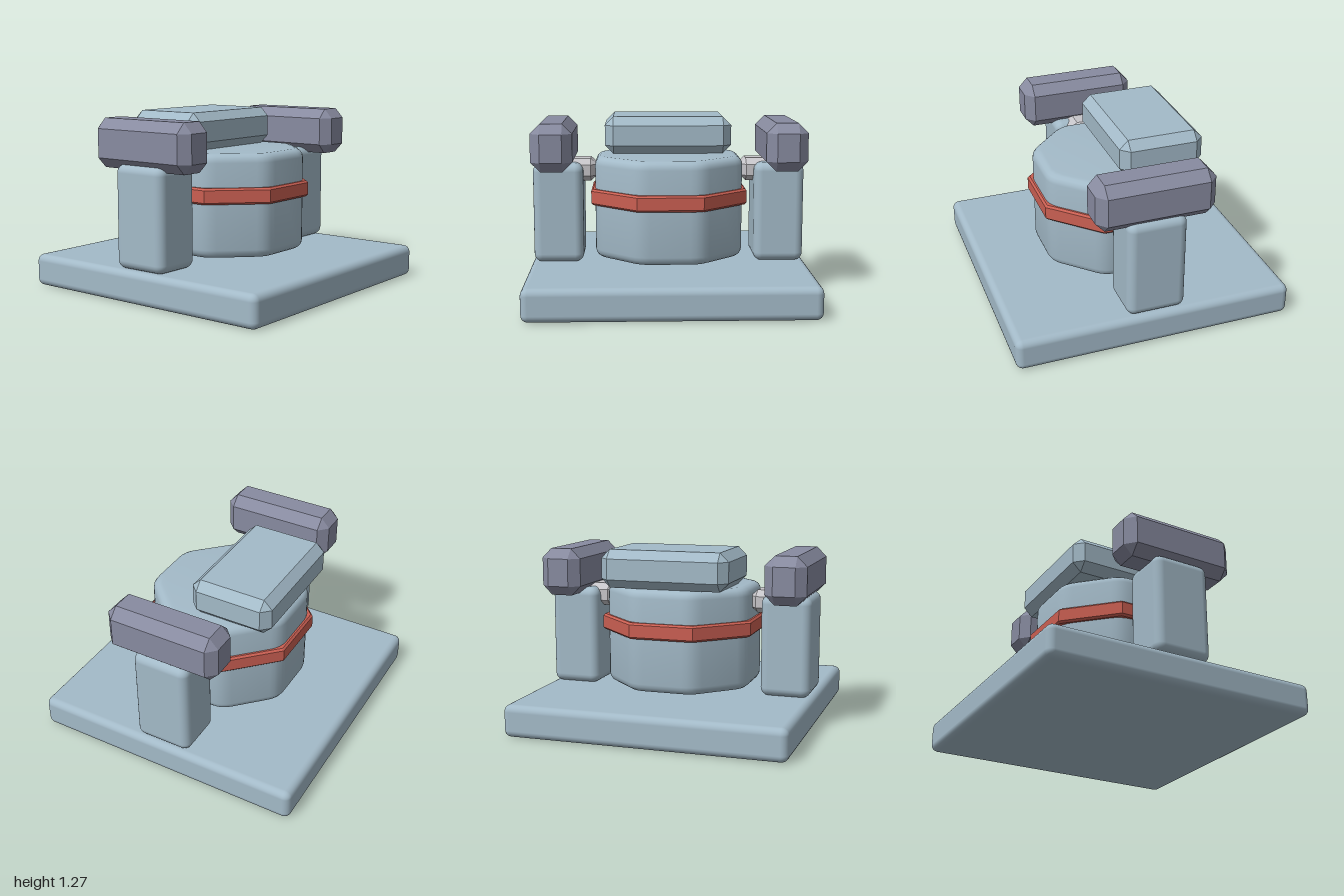
import * as THREE from 'three';
import { toCreasedNormals } from 'three/addons/utils/BufferGeometryUtils.js';
import { RoundedBoxGeometry } from 'three/addons/geometries/RoundedBoxGeometry.js';
import { ConvexGeometry } from 'three/addons/geometries/ConvexGeometry.js';

const material = (name, color) => Object.assign(new THREE.MeshStandardMaterial({ color }), { name });

// Box with flat chamfers: three points at each of the eight corners
function chamferBox(w, h, d, cx, cy = cx, cz = cx) {
  const points = [];
  for (const x of [-1, 1]) for (const y of [-1, 1]) for (const z of [-1, 1]) {
    const [X, Y, Z] = [w / 2, h / 2, d / 2];
    points.push(
      new THREE.Vector3(x * X, y * (Y - cy), z * (Z - cz)),
      new THREE.Vector3(x * (X - cx), y * Y, z * (Z - cz)),
      new THREE.Vector3(x * (X - cx), y * (Y - cy), z * Z));
  }
  return new ConvexGeometry(points);
}

// Upright octagonal prism from y0 to y1, flat sides facing the axes
function octagonPrism(apothem, y0, y1, bevel, segments, cornerCut) {
  const shape = new THREE.Shape();
  const R = apothem / Math.cos(Math.PI / 8);
  const corner = (i) => new THREE.Vector2(R, 0).rotateAround(new THREE.Vector2(), (i + 0.5) * Math.PI / 4);
  for (let i = 0; i < 8; i++) {
    const c = corner(i);
    if (!cornerCut) {
      i ? shape.lineTo(c.x, c.y) : shape.moveTo(c.x, c.y);
      continue;
    }
    const a = c.clone().lerp(corner(i - 1), cornerCut);
    const b = c.clone().lerp(corner(i + 1), cornerCut);
    i ? shape.lineTo(a.x, a.y) : shape.moveTo(a.x, a.y);
    shape.quadraticCurveTo(c.x, c.y, b.x, b.y);
  }
  shape.closePath();
  const geometry = new THREE.ExtrudeGeometry(shape, {
    depth: y1 - y0 - 2 * bevel, curveSegments: 4,
    bevelSize: bevel, bevelThickness: bevel, bevelOffset: -bevel, bevelSegments: segments,
  });
  return geometry.translate(0, 0, y0 + bevel).rotateX(-Math.PI / 2);
}

export function createModel() {
  const model = new THREE.Group();
  model.name = 'turret';

  const blue = material('pale blue', 0xa3bac8);
  const red = material('red', 0xca5f52);
  const slate = material('slate', 0x888ba0);
  const grey = material('light grey', 0xc6c5c9);

  const add = (name, geometry, mat, x = 0, y = 0, z = 0) => {
    const mesh = new THREE.Mesh(geometry, mat);
    mesh.name = name;
    mesh.position.set(x, y, z);
    model.add(mesh);
  };

  // Base plate
  add('base', new RoundedBoxGeometry(2, 0.23, 2, 3, 0.05), blue, 0, 0.115, 0);

  // Octagonal body with a band around it
  add('body', toCreasedNormals(octagonPrism(0.53, 0.27, 1.0, 0.06, 4, 0.18), 0.6), blue);
  add('band', octagonPrism(0.557, 0.655, 0.77, 0.014, 1, 0), red);

  // Head block, set towards the back
  add('head', chamferBox(0.925, 0.27, 0.61, 0.062), blue, 0, 1.135, -0.235);

  // Pillar, axle and bar on each side
  for (const [side, s] of [['left', 1], ['right', -1]]) {
    add(side + 'Pillar', new RoundedBoxGeometry(0.36, 0.72, 0.42, 3, 0.06), blue, s * 0.797, 0.59, 0);
    add(side + 'Axle', chamferBox(0.28, 0.165, 0.25, 0.045, 0.042, 0.06), grey, s * 0.66, 0.89, -0.005);
    add(side + 'Bar', chamferBox(0.295, 0.34, 0.84, 0.07, 0.07, 0.065), slate, s * 0.828, 1.08, 0);
  }

  return model;
}
